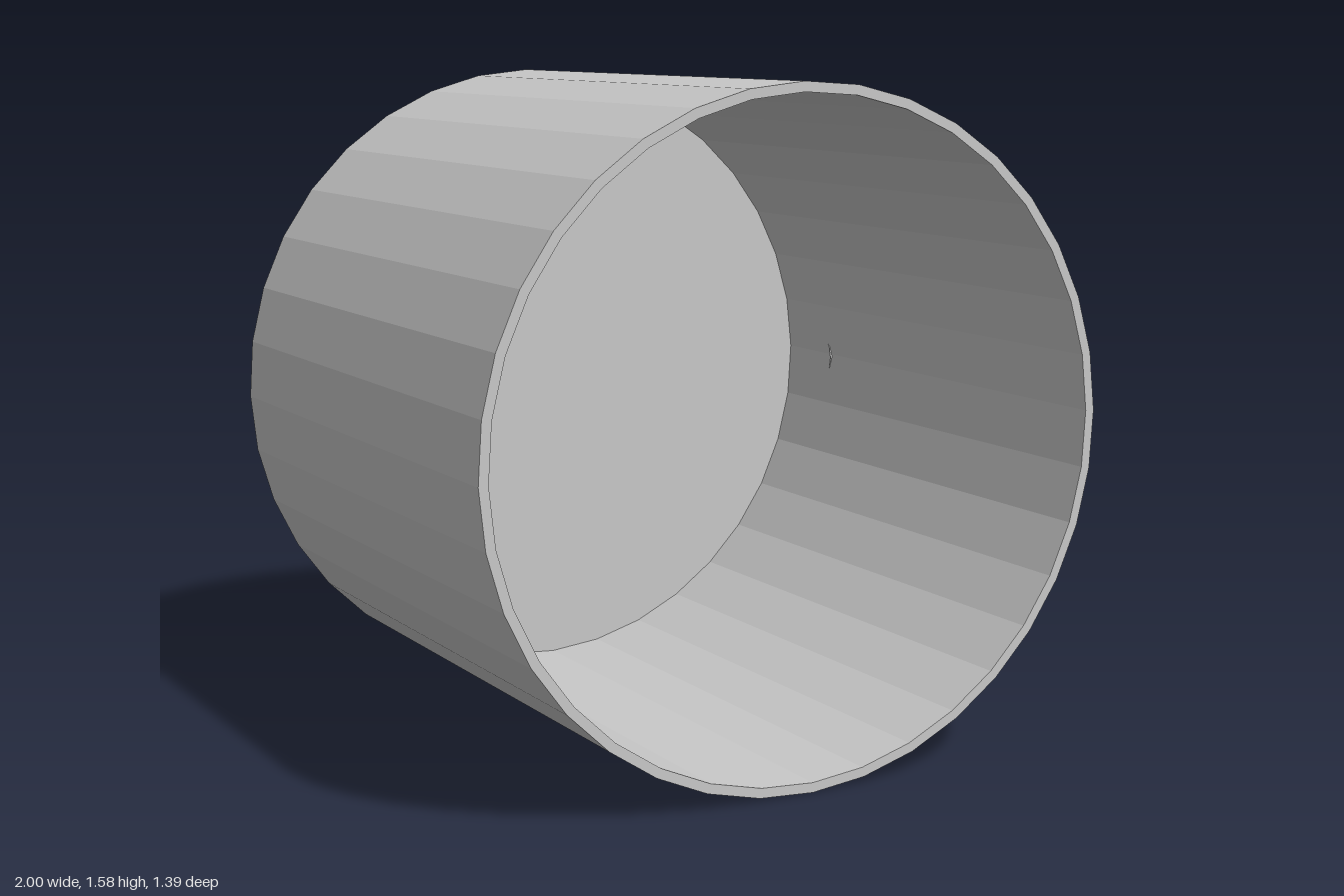
import * as THREE from 'three';

export function createModel() {
  const mug = new THREE.Group();
  mug.name = 'mug';
  const grey = new THREE.MeshStandardMaterial({ color: 0xc8c8c8, flatShading: true });
  grey.name = 'light grey';

  const outer = 0.788, inner = 0.765, half = 0.684, floorZ = -0.62;

  // Thin-walled cup with a thick base, opening towards +z
  const profile = [
    [0, -half], [outer, -half], [outer, half],
    [inner, half], [inner, floorZ], [0, floorZ],
  ].map(([r, h]) => new THREE.Vector2(r, h));
  const cup = new THREE.Mesh(new THREE.LatheGeometry(profile, 36).rotateX(Math.PI / 2), grey);
  cup.name = 'cup';
  mug.add(cup);

  // Round handle whose ends are buried in the wall
  const arc = 2.88;
  const loop = new THREE.TorusGeometry(0.433, 0.057, 12, 18, arc)
    .rotateZ(-arc / 2)
    .rotateX(Math.PI / 2);
  const handle = new THREE.Mesh(loop, grey);
  handle.name = 'handle';
  handle.position.set(0.711, -0.008, -0.035);
  mug.add(handle);

  // The mug lies on its side, turned very slightly
  mug.rotation.set(0, 0.0145, 0.018);
  mug.position.set(-0.203, 0.788, 0);

  const model = new THREE.Group();
  model.name = 'model';
  model.add(mug);
  return model;
}
